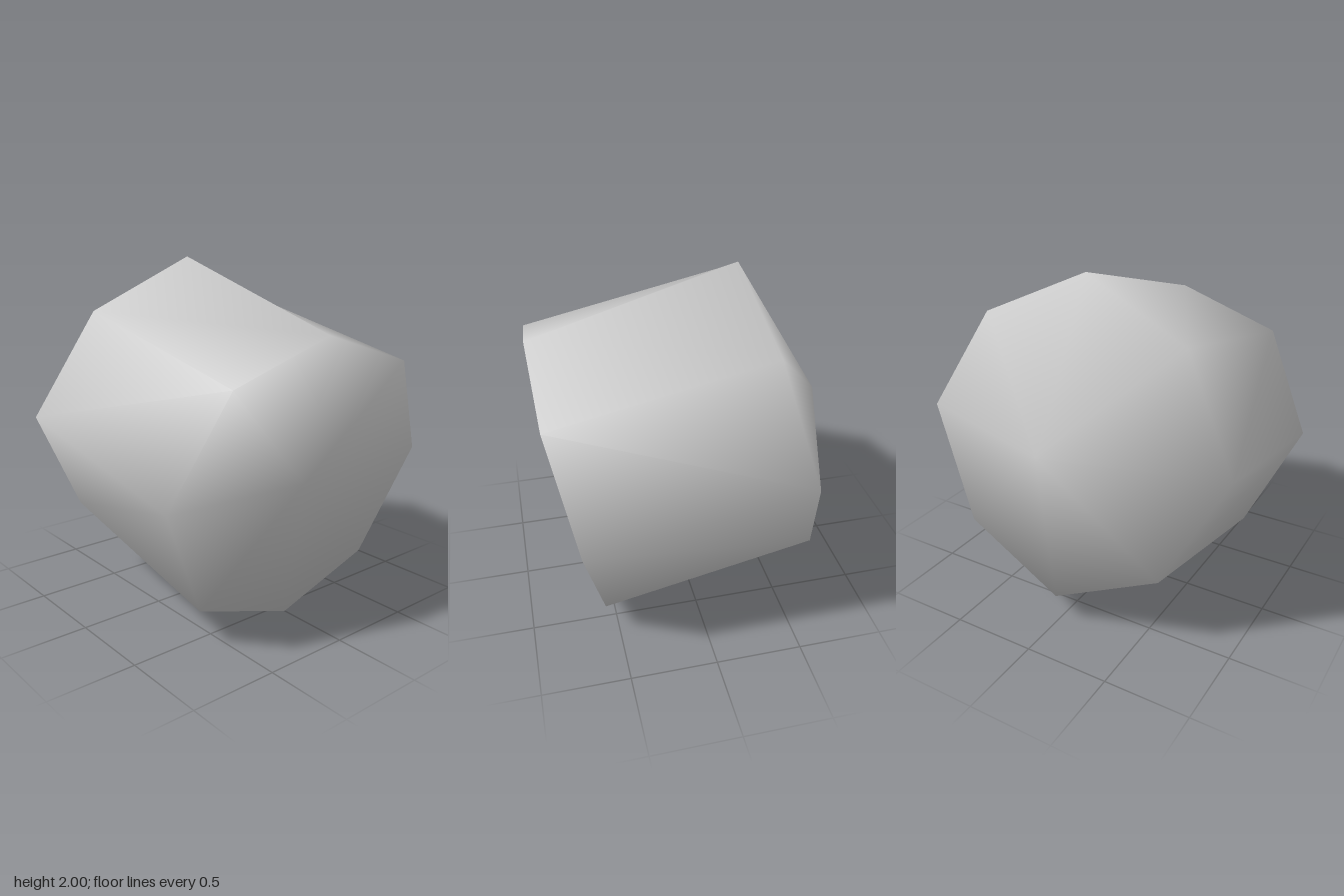
import * as THREE from 'three';

// Half of an eight-sided ring, top to bottom on the +x side; the rest is mirrored.
function ring(half) {
  const mirrored = half.slice(1, 4).reverse().map(([x, y, z]) => [-x, y, z]);
  return [...half, ...mirrored];
}

export function createModel() {
  const group = new THREE.Group();
  const grey = new THREE.MeshStandardMaterial({ color: 0xcccccc });
  grey.name = 'plain grey';

  const front = ring([[0, 1.65, 0.86], [0.63, 1.45, 0.84], [0.93, 0.86, 0.71], [0.63, 0.21, 0.575], [0, 0, 0.57]]);
  const back = ring([[0, 2, -0.34], [0.63, 1.71, -0.40], [0.965, 1.11, -0.53], [0.63, 0.47, -0.66], [0, 0.18, -0.72]]);
  const n = front.length;
  const frontPole = 2 * n, backPole = 2 * n + 1;
  const points = [...front, ...back, [0, 0.82, 0.705], [0, 1.14, -0.855]];

  const index = [];
  for (let i = 0; i < n; i++) {
    const j = (i + 1) % n, bi = n + i, bj = n + j;
    // shallow front cap and domed back cap
    index.push(frontPole, j, i, backPole, bi, bj);
    // side wall, with diagonals mirrored left to right
    if (i < n / 2) index.push(i, j, bj, i, bj, bi);
    else index.push(i, j, bi, j, bj, bi);
  }

  const geometry = new THREE.BufferGeometry();
  geometry.setAttribute('position', new THREE.Float32BufferAttribute(points.flat(), 3));
  geometry.setIndex(index);
  geometry.computeVertexNormals();

  const body = new THREE.Mesh(geometry, grey);
  body.name = 'roundedBody';
  group.add(body);
  return group;
}
